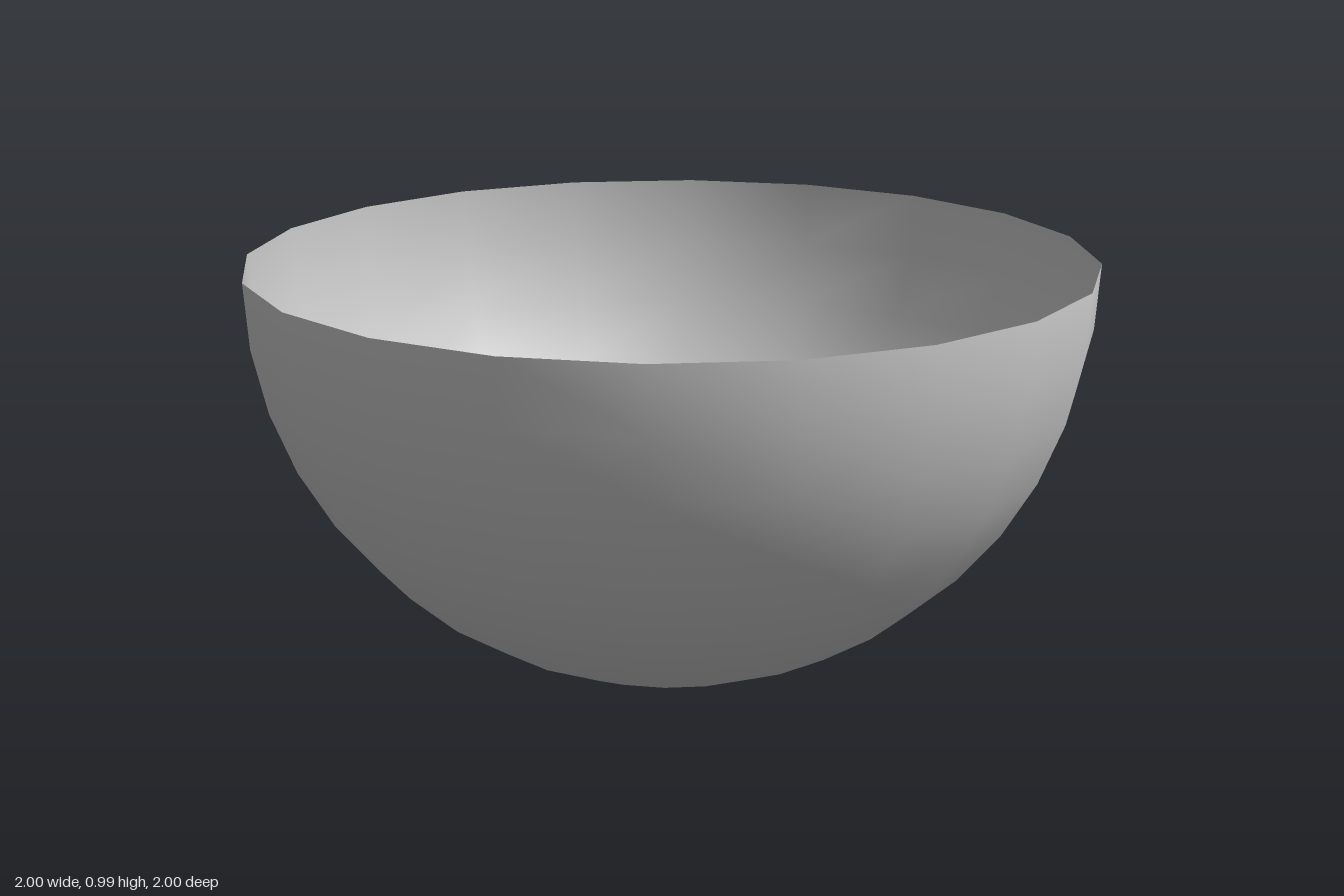
import * as THREE from 'three';

export function createModel() {
  const group = new THREE.Group();
  group.name = 'openBowl';

  // Thin lower hemisphere, cut one ring short to leave a round hole in the base
  const step = Math.PI / 20;
  const geometry = new THREE.SphereGeometry(1, 20, 9, 0, Math.PI * 2, Math.PI / 2, 9 * step);
  geometry.translate(0, Math.cos(step), 0);

  const material = new THREE.MeshStandardMaterial({ color: 0xcccccc, side: THREE.DoubleSide });
  const bowl = new THREE.Mesh(geometry, material);
  bowl.name = 'bowlShell';
  group.add(bowl);

  return group;
}
